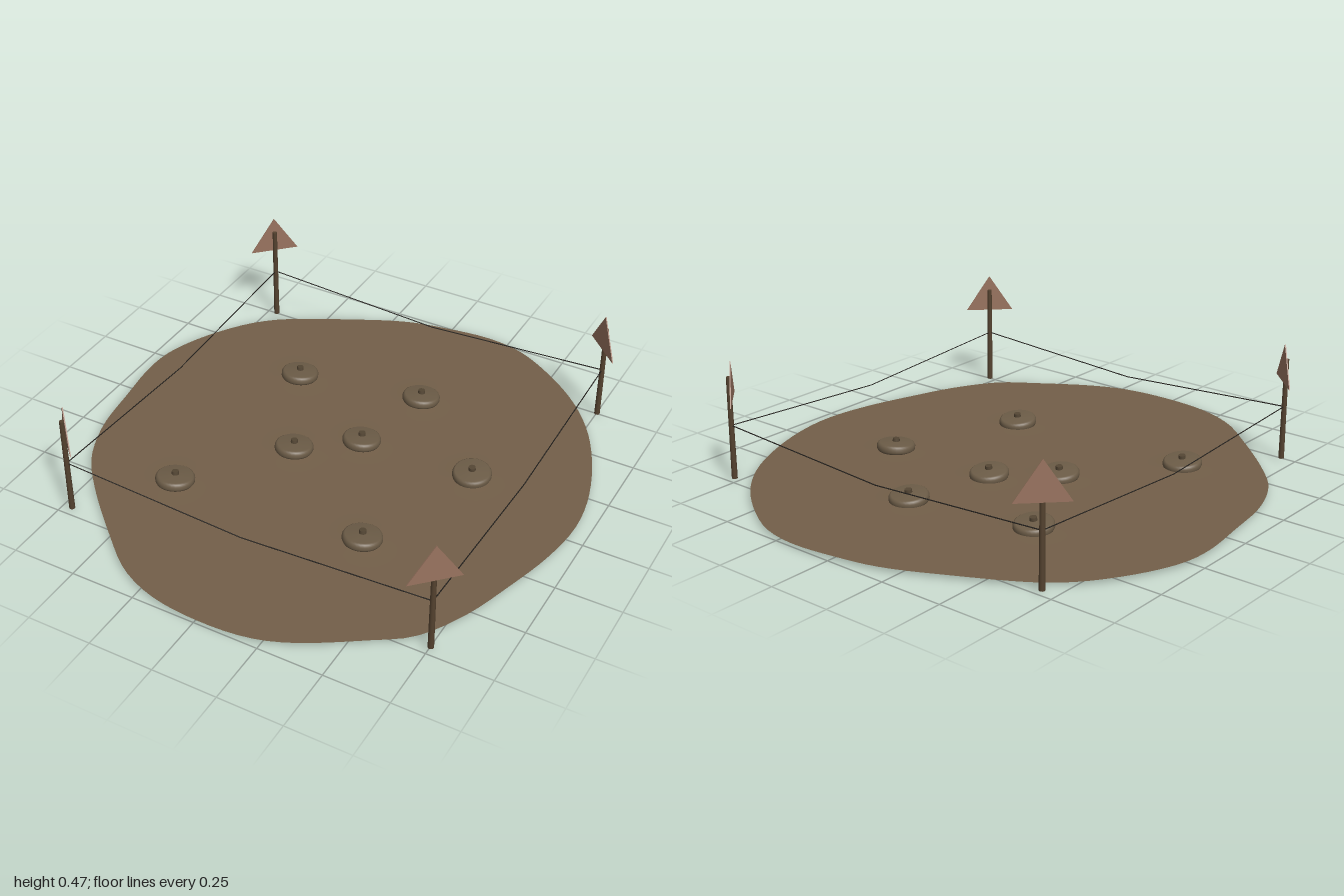
import * as THREE from 'three';

const mat = (name, color, side = THREE.FrontSide) => {
  const m = new THREE.MeshStandardMaterial({ color, side });
  m.name = name;
  return m;
};

const GROUND_Y = 0.013;

// Mine positions [x, z, tilt about x]
const MINES = [
  [0.114, -0.48, -0.12], [-0.385, -0.385, -0.12], [0.037, -0.127, -0.12],
  [0.495, -0.145, 0.07], [-0.167, 0.037, -0.12], [-0.458, 0.415, -0.12],
  [0.307, 0.368, -0.12],
];

// Outline of the earth patch [x, z], anticlockwise seen from above
const OUTLINE = [
  [0.17, -1], [-0.02, -0.98], [-0.18, -0.945], [-0.39, -0.85], [-0.7, -0.67],
  [-0.845, -0.49], [-0.935, -0.29], [-0.95, -0.155], [-0.925, 0.055], [-0.89, 0.27],
  [-0.815, 0.45], [-0.705, 0.585], [-0.5, 0.78], [-0.34, 0.91], [-0.18, 0.975],
  [0.03, 0.997], [0.215, 0.98], [0.35, 0.93], [0.56, 0.8], [0.69, 0.705],
  [0.795, 0.53], [0.86, 0.345], [0.92, 0.135], [0.945, -0.05], [0.93, -0.21],
  [0.865, -0.42], [0.765, -0.615], [0.64, -0.765], [0.48, -0.89], [0.32, -0.975],
];

// Slight mound of soil around each mine
function groundHeight(x, z) {
  let y = GROUND_Y;
  for (const [mx, mz] of MINES) {
    y += 0.004 * Math.exp(-((x - mx) ** 2 + (z - mz) ** 2) / 0.008);
  }
  return y;
}

// Earth patch as rings shrinking from the outline to the centre
function groundGeometry(segs = 120, rings = 30) {
  const curve = new THREE.CatmullRomCurve3(
    OUTLINE.map(([x, z]) => new THREE.Vector3(x, 0, z)), true);
  const edge = curve.getSpacedPoints(segs);
  const pos = [0, groundHeight(0, 0), 0];
  const idx = [];
  const at = (r, s) => 1 + (r - 1) * segs + (s % segs);
  for (let r = 1; r <= rings; r++) {
    for (let s = 0; s < segs; s++) {
      const x = edge[s].x * r / rings, z = edge[s].z * r / rings;
      pos.push(x, groundHeight(x, z), z);
      if (r === 1) idx.push(0, at(1, s), at(1, s + 1));
      else {
        idx.push(at(r - 1, s), at(r, s), at(r, s + 1));
        idx.push(at(r - 1, s), at(r, s + 1), at(r - 1, s + 1));
      }
    }
  }
  const g = new THREE.BufferGeometry();
  g.setAttribute('position', new THREE.Float32BufferAttribute(pos, 3));
  g.setIndex(idx);
  g.computeVertexNormals();
  return g;
}

export function createModel() {
  const model = new THREE.Group();
  model.name = 'minefield';

  const earth = mat('earth brown', 0x735f49, THREE.DoubleSide);
  const casing = mat('mine casing', 0x6c5c47);
  const fuse = mat('dark fuse', 0x544634);
  const wood = mat('post wood', 0x54422f);
  const rust = mat('rusty sign', 0x9a7460);
  const wireMat = mat('dark wire', 0x24211e);

  const add = (parent, name, geo, material, x = 0, y = 0, z = 0) => {
    const m = new THREE.Mesh(geo, material);
    m.name = name;
    m.position.set(x, y, z);
    parent.add(m);
    return m;
  };

  add(model, 'ground', groundGeometry(), earth);

  // Mines: bulging disc with a pressure plate and a small fuse knob
  const bodyGeo = new THREE.LatheGeometry([
    [0, -0.019], [0.062, -0.019], [0.07, -0.014], [0.074, -0.006],
    [0.074, 0.006], [0.07, 0.014], [0.064, 0.018], [0, 0.021],
  ].map(([r, y]) => new THREE.Vector2(r, y)), 32);
  const knobGeo = new THREE.CylinderGeometry(0.013, 0.014, 0.014, 16);
  MINES.forEach(([x, z, tilt]) => {
    const mine = new THREE.Group();
    mine.name = 'mine';
    mine.position.set(x, 0.0265, z);
    mine.rotation.x = tilt;
    add(mine, 'mineBody', bodyGeo, casing);
    add(mine, 'mineFuse', knobGeo, fuse, 0, 0.026, 0);
    model.add(mine);
  });

  // Corner posts with triangular warning signs turned diagonally
  const X0 = -0.703, X1 = 0.757, Z0 = -0.737, Z1 = 0.725;
  const triangle = new THREE.Shape([
    new THREE.Vector2(-0.097, 0), new THREE.Vector2(0.097, 0), new THREE.Vector2(0, 0.147),
  ]);
  const signGeo = new THREE.ExtrudeGeometry(triangle, { depth: 0.004, bevelEnabled: false });
  signGeo.translate(0, 0, -0.002);
  const postGeo = new THREE.CylinderGeometry(0.009, 0.011, 0.397, 10);
  // [x, z, sign facing angle, offset along the facing: outside or inside the post]
  const CORNERS = [
    [X0, Z0, -Math.PI * 0.75, 0.009], [X1, Z0, Math.PI * 0.75, -0.009],
    [X1, Z1, Math.PI * 0.25, 0.009], [X0, Z1, -Math.PI * 0.25, -0.009],
  ];
  CORNERS.forEach(([x, z, angle, offset]) => {
    const corner = new THREE.Group();
    corner.name = 'signPost';
    corner.position.set(x, 0, z);
    corner.rotation.y = angle;
    add(corner, 'post', postGeo, wood, 0, GROUND_Y + 0.1985, 0);
    add(corner, 'warningSign', signGeo, rust, 0, 0.321, offset);
    model.add(corner);
  });

  // Sagging wire: two straight spans between each pair of neighbouring posts
  const up = new THREE.Vector3(0, 1, 0);
  const span = (a, b) => {
    const d = b.clone().sub(a);
    const mid = a.clone().add(b).multiplyScalar(0.5);
    const geo = new THREE.CylinderGeometry(0.002, 0.002, d.length(), 6);
    const w = add(model, 'wire', geo, wireMat, mid.x, mid.y, mid.z);
    w.quaternion.setFromUnitVectors(up, d.normalize());
  };
  CORNERS.forEach(([x, z], i) => {
    const [nx, nz] = CORNERS[(i + 1) % 4];
    const a = new THREE.Vector3(x, 0.222, z);
    const b = new THREE.Vector3(nx, 0.222, nz);
    const low = new THREE.Vector3((x + nx) / 2, 0.18, (z + nz) / 2);
    span(a, low);
    span(low, b);
  });

  return model;
}
